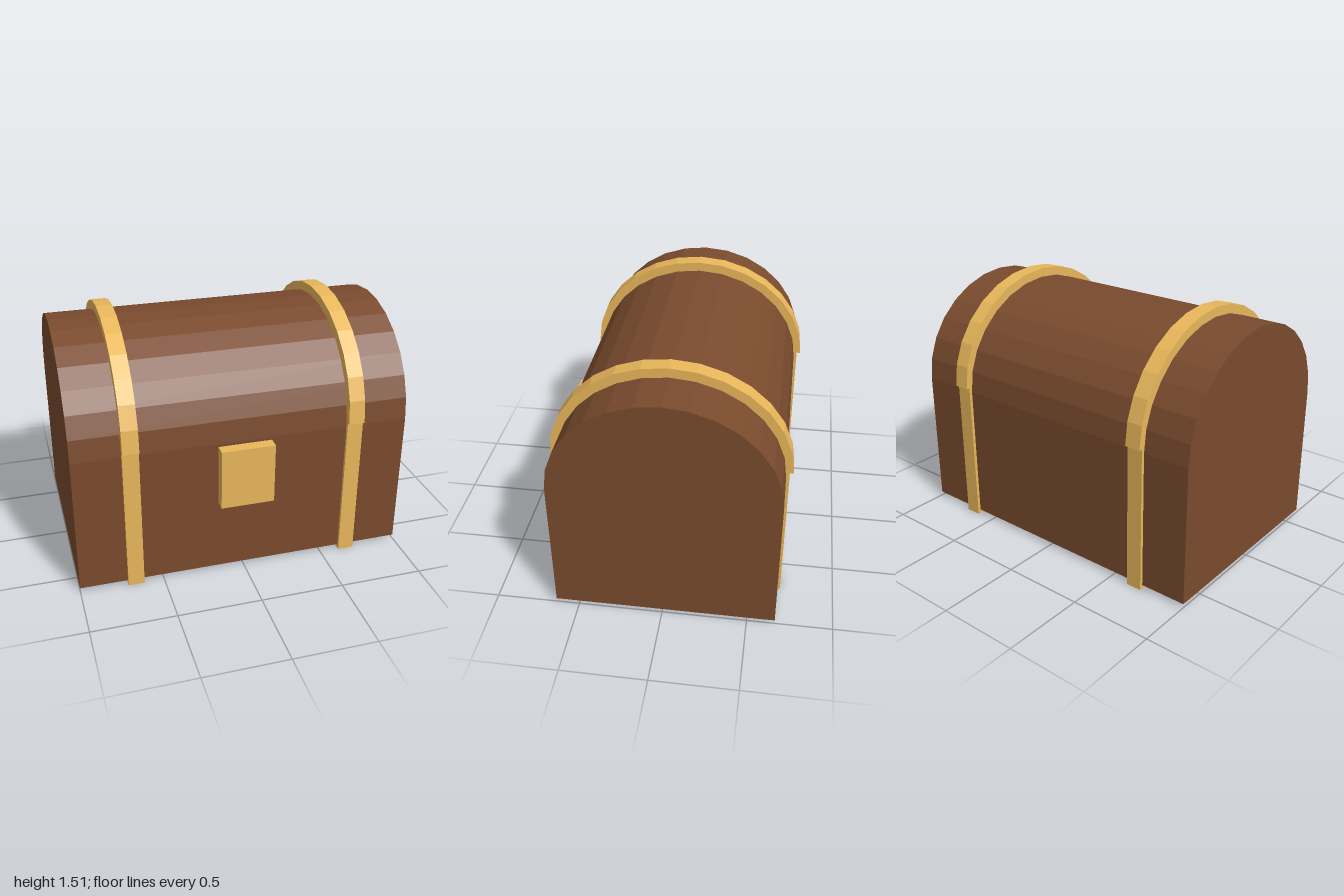
import * as THREE from 'three';

const WOOD = new THREE.MeshStandardMaterial({ color: 0x7a4b2e, flatShading: true });
const BRASS = new THREE.MeshStandardMaterial({ color: 0xe9b75b, flatShading: true });
const CENTER_Z = -0.013;
const ARCH_SEGMENTS = 14;

function addBox(parent, name, material, size, position) {
  const mesh = new THREE.Mesh(new THREE.BoxGeometry(...size), material);
  mesh.name = name;
  mesh.position.set(...position);
  parent.add(mesh);
}

// Half-ellipse prism running along x, standing on its flat side at baseY
function addArch(parent, name, material, width, x, baseY, radiusZ, height) {
  const points = [];
  for (let i = 0; i <= ARCH_SEGMENTS; i++) {
    const a = (Math.PI * i) / ARCH_SEGMENTS;
    points.push(new THREE.Vector2(radiusZ * Math.cos(a), height * Math.sin(a)));
  }
  const geometry = new THREE.ExtrudeGeometry(new THREE.Shape(points), { depth: width, bevelEnabled: false });
  geometry.translate(0, 0, -width / 2).rotateY(Math.PI / 2);
  const mesh = new THREE.Mesh(geometry, material);
  mesh.name = name;
  mesh.position.set(x, baseY, CENTER_Z);
  parent.add(mesh);
}

export function createModel() {
  const chest = new THREE.Group();
  chest.name = 'treasureChest';

  // Wooden body and domed lid
  addBox(chest, 'body', WOOD, [2, 0.838, 1.302], [0, 0.443, CENTER_Z]);
  addArch(chest, 'lid', WOOD, 2, 0, 0.862, 0.651, 0.594);

  // Metal bands: one straight part around the body, one arched part over the lid
  for (const side of [-1, 1]) {
    const band = new THREE.Group();
    band.name = side > 0 ? 'leftBand' : 'rightBand';
    const x = side * 0.668;
    addBox(band, 'bodyBand', BRASS, [0.096, 0.895, 1.34], [x, 0.4475, CENTER_Z]);
    addArch(band, 'lidBand', BRASS, 0.096, x, 0.892, 0.691, 0.62);
    chest.add(band);
  }

  // Lock plate on the front
  addBox(chest, 'lockPlate', BRASS, [0.32, 0.37, 0.09], [0, 0.657, 0.663]);

  return chest;
}
